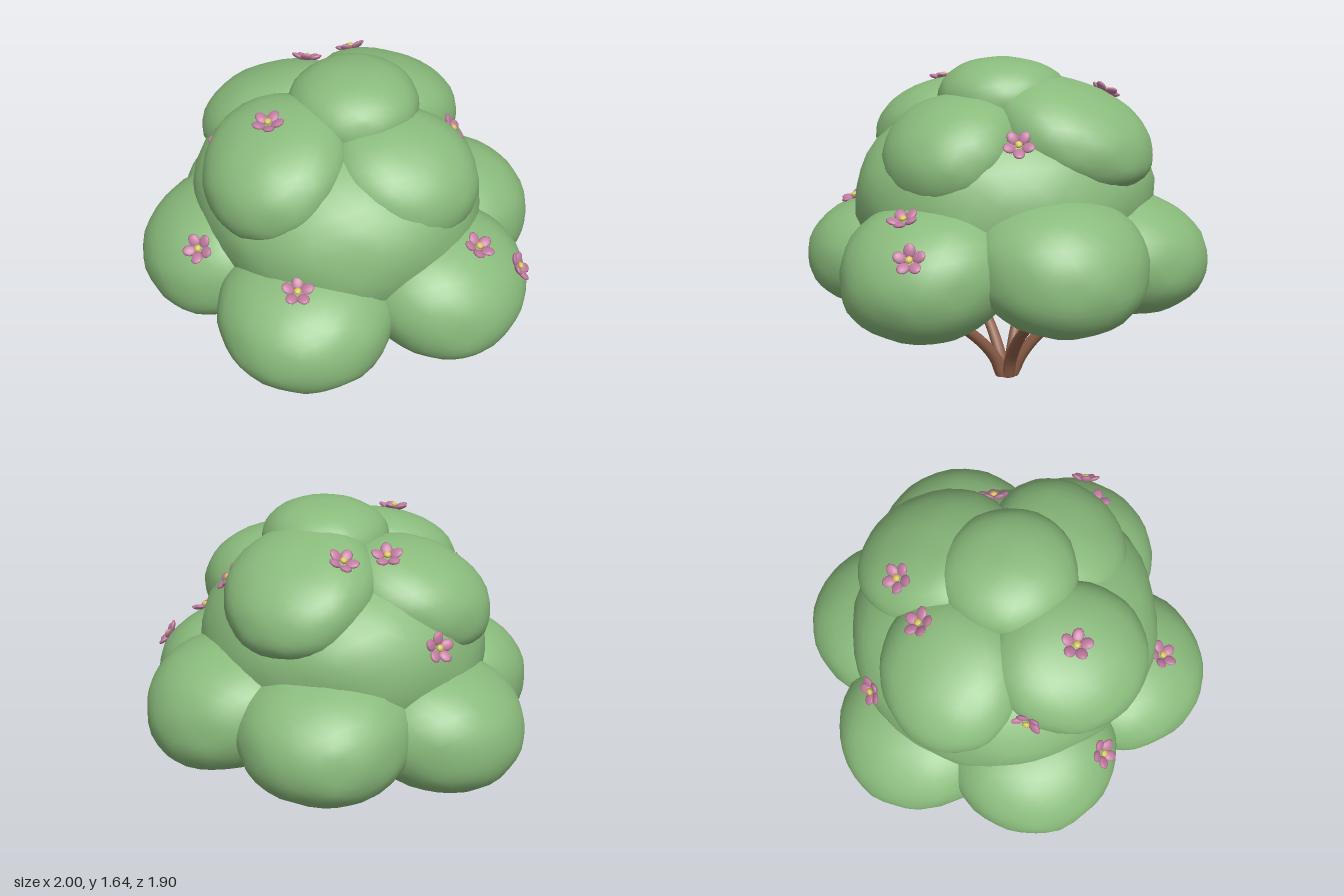
import * as THREE from 'three';
import { mergeVertices } from 'three/addons/utils/BufferGeometryUtils.js';

const mat = (name, color) => {
  const m = new THREE.MeshStandardMaterial({ color });
  m.name = name;
  return m;
};
const V = (x, y, z) => new THREE.Vector3(x, y, z);

// Foliage clumps: name, centre, radii, droop (how far the lump sinks as it reaches outwards)
const CLUMPS = [
  ['foliageCore', [-0.02, 0.95, 0.005], [0.7, 0.49, 0.755], 0],
  ['lowerFrontLeft', [0.35, 0.695, 0.5], [0.42, 0.312, 0.42], 0.14],
  ['lowerFrontRight', [-0.32, 0.66, 0.52], [0.42, 0.288, 0.43], 0.1],
  ['lowerLeft', [0.595, 0.732, -0.05], [0.405, 0.307, 0.42], 0.14],
  ['lowerRight', [-0.595, 0.712, -0.05], [0.405, 0.305, 0.42], 0.14],
  ['lowerBackLeft', [0.295, 0.695, -0.5], [0.415, 0.297, 0.425], 0.12],
  ['lowerBackRight', [-0.28, 0.662, -0.53], [0.42, 0.302, 0.425], 0.12],
  ['upperFrontLeft', [0.2, 1.225, 0.345], [0.36, 0.245, 0.325], 0.25],
  ['upperFrontRight', [-0.37, 1.27, 0.19], [0.34, 0.245, 0.38], 0.25],
  ['upperBackLeft', [0.295, 1.29, -0.23], [0.355, 0.235, 0.39], 0.3],
  ['upperBackRight', [-0.245, 1.24, -0.34], [0.37, 0.235, 0.335], 0.25],
  ['crown', [0.05, 1.44, 0.04], [0.31, 0.2, 0.32], 0],
].map(([name, c, r, droop], i) => ({
  name, c: V(...c), r: V(...r), seed: i * 1.7, slope: V(c[0], 0, c[2]).normalize().multiplyScalar(droop),
}));

// Unit lump: a slightly boxy sphere with soft dents
function lump(u, seed) {
  const p = 2.22;
  const round = Math.pow(Math.pow(Math.hypot(u.x, u.z), p) + Math.pow(Math.abs(u.y), p), -1 / p);
  const dents = Math.sin(u.x * 4 + seed) * Math.sin(u.y * 4 + seed * 2) + Math.sin(u.z * 5 - seed) * Math.cos(u.x * 3 + seed);
  const knobs = Math.sin(u.x * 9 + seed) * Math.sin(u.y * 8 - seed) * Math.sin(u.z * 9 + seed * 3);
  return round * (1 + 0.01 * dents + 0.012 * knobs);
}

function clumpGeometry({ r, seed, slope }) {
  let g = new THREE.IcosahedronGeometry(1, 6);
  g.deleteAttribute('uv');
  g.deleteAttribute('normal');
  g = mergeVertices(g, 1e-4);
  const pos = g.attributes.position;
  const u = V(0, 0, 0);
  for (let i = 0; i < pos.count; i++) {
    u.fromBufferAttribute(pos, i).normalize();
    u.multiplyScalar(lump(u, seed)).multiply(r);
    pos.setXYZ(i, u.x, u.y - u.dot(slope), u.z);
  }
  g.computeVertexNormals();
  return g;
}

const insideFoliage = (p) => CLUMPS.some(({ c, r, slope, seed }) => {
  const q = p.clone().sub(c);
  q.y += q.dot(slope);
  const len = q.divide(r).length();
  return len < lump(q.divideScalar(len), seed);
});

// Tapered stem bending outwards from the base to (x, z)
function stemGeometry(x, z) {
  const d = V(x, 0, z);
  const len = d.length();
  d.divideScalar(len);
  const at = (t, y) => d.clone().multiplyScalar(t).setY(y);
  const path = new THREE.CatmullRomCurve3([
    at(0.03, 0), at(0.07, 0.1), at(len * 0.42, 0.245), at(len * 0.72, 0.345), at(len, 0.41), at(len + 0.08, 0.435),
  ]);
  const rows = 16, sides = 10;
  const g = new THREE.TubeGeometry(path, rows, 1, sides);
  const pos = g.attributes.position;
  const v = V(0, 0, 0);
  for (let i = 0; i < pos.count; i++) {
    const t = Math.floor(i / (sides + 1)) / rows;
    const p = path.getPointAt(t);
    v.fromBufferAttribute(pos, i).sub(p).multiplyScalar(0.034 - 0.014 * t).add(p);
    pos.setXYZ(i, v.x, Math.max(0, v.y), v.z);
  }
  return g;
}

// Flowers: position and facing direction
const FLOWERS = [
  [[-0.17, 1.08, -0.69], [-0.15, 0.45, -0.9]],
  [[-0.06, 1.45, -0.42], [0.2, 0.88, -0.4]],
  [[0.18, 1.45, -0.44], [-0.1, 0.85, -0.5]],
  [[-0.63, 1.26, -0.12], [-0.75, 0.2, -0.55]],
  [[-0.4, 1.5, 0.2], [-0.1, 1, 0.1]],
  [[-0.76, 0.89, 0.23], [-0.45, 0.7, 0.55]],
  [[-0.4, 0.92, 0.69], [-0.05, 0.9, 0.42]],
  [[0.54, 1.29, 0.13], [0.75, 0.6, 0.25]],
  [[0.48, 0.97, 0.66], [0.25, 0.9, 0.3]],
  [[0.69, 0.83, 0.69], [0.75, 0.55, 0.35]],
];

export function createModel() {
  const green = mat('leafGreen', 0x8abb7c);
  const brown = mat('barkBrown', 0x8f5f49);
  const pink = mat('petalPink', 0xc07a9f);
  const yellow = mat('pollenYellow', 0xd8c45c);
  const model = new THREE.Group();
  model.name = 'floweringBush';
  const add = (parent, name, geometry, material) => {
    const m = new THREE.Mesh(geometry, material);
    m.name = name;
    parent.add(m);
    return m;
  };

  // Foliage
  const foliage = new THREE.Group();
  foliage.name = 'foliage';
  model.add(foliage);
  for (const clump of CLUMPS) {
    add(foliage, clump.name, clumpGeometry(clump), green).position.copy(clump.c);
  }

  // Stems and the base they grow from
  const stems = new THREE.Group();
  stems.name = 'stems';
  model.add(stems);
  for (const [x, z] of [[0.48, 0.02], [0.14, 0.46], [-0.42, 0.09], [-0.27, -0.23], [0.23, -0.37]]) {
    add(stems, 'stem', stemGeometry(x, z), brown);
  }
  const base = add(stems, 'stemBase', new THREE.CylinderGeometry(0.04, 0.045, 0.06, 12), brown);
  base.position.y = 0.03;

  // Flowers, each set down on the foliage
  const petal = new THREE.SphereGeometry(1, 10, 6).scale(0.028, 0.012, 0.034);
  petal.rotateX(-0.4).translate(0, 0.01, 0.045);
  const heart = new THREE.SphereGeometry(0.018, 10, 6).scale(1, 0.7, 1);
  FLOWERS.forEach(([at, facing], i) => {
    const n = V(...facing).normalize();
    const p = V(...at).addScaledVector(n, 0.1);
    for (let k = 0; k < 100 && !insideFoliage(p); k++) p.addScaledVector(n, -0.004);
    const flower = new THREE.Group();
    flower.name = 'flower';
    flower.position.copy(p).addScaledVector(n, 0.002);
    flower.quaternion.setFromUnitVectors(V(0, 1, 0), n);
    for (let k = 0; k < 5; k++) {
      add(flower, 'petal', petal, pink).rotation.y = (k * Math.PI * 2) / 5 + i * 0.9;
    }
    add(flower, 'flowerHeart', heart, yellow).position.y = 0.017;
    model.add(flower);
  });
  return model;
}
